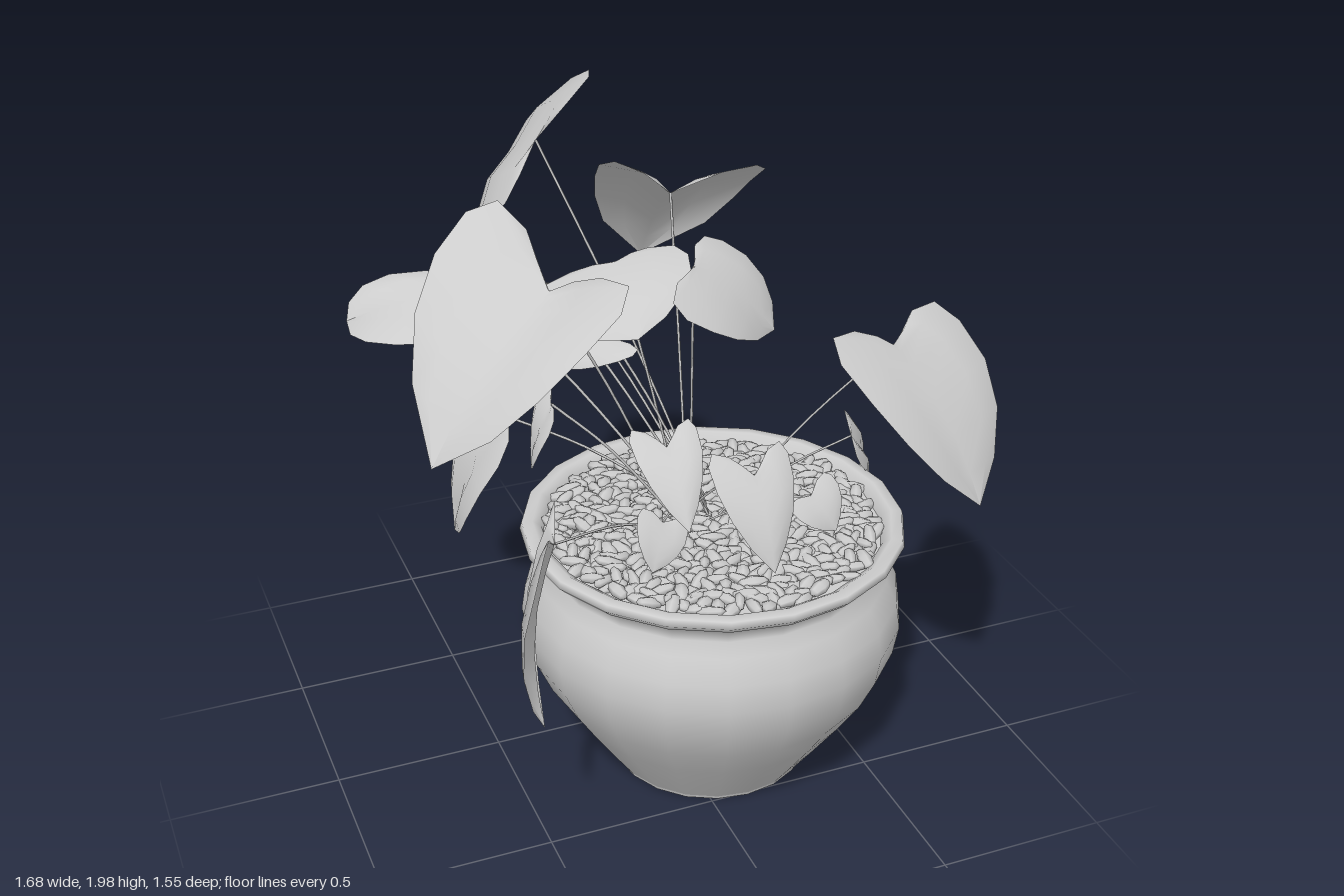
import * as THREE from 'three';
import { mergeGeometries } from 'three/addons/utils/BufferGeometryUtils.js';

const V = (x, y, z) => new THREE.Vector3(x, y, z);
const CX = 0.11, CZ = 0.215; // pot axis

// half outline of a heart leaf: [midrib position, sideways, along]
const ROWS = [
  [0, 0.04, 0], [0, 0.5, -0.1], [0.05, 0.88, -0.07], [0.16, 1.04, 0.1],
  [0.36, 1.0, 0.36], [0.6, 0.8, 0.62], [0.82, 0.46, 0.84], [1, 0, 1.01],
];
const COLS = [-1, -0.5, 0, 0.5, 1];

// heart-shaped blade from its notch, tip and two lobe points; blunt widens the tip half
function leafGeometry(notch, tip, lobeA, lobeB, blunt) {
  const along = tip.clone().sub(notch);
  const a = lobeA.clone().sub(notch), b = lobeB.clone().sub(notch);
  const normal = along.clone().cross(b.clone().sub(a)).normalize();
  const flip = normal.y < 0;
  if (flip) normal.negate();
  const len = along.length(), pos = [], index = [];
  for (const [rib, side, t] of ROWS) {
    const s = t > 0.2 ? side ** (1 - blunt) : side;
    for (const c of COLS) {
      const f = Math.abs(c);
      const v = rib + (t - rib) * f;
      const arch = len * (0.08 * Math.sin(Math.PI * Math.max(v, 0)) + 0.05 * Math.sin(Math.PI * f) * s);
      const p = notch.clone().addScaledVector(along, v)
        .addScaledVector(c < 0 ? a : b, f * s).addScaledVector(normal, arch);
      pos.push(p.x, p.y, p.z);
    }
  }
  const n = COLS.length;
  for (let i = 0; i < ROWS.length - 1; i++) {
    for (let j = 0; j < n - 1; j++) {
      const p = i * n + j, q = p + n;
      if (flip) index.push(p, q, p + 1, p + 1, q, q + 1);
      else index.push(p, p + 1, q, p + 1, q + 1, q);
    }
  }
  const g = new THREE.BufferGeometry();
  g.setAttribute('position', new THREE.Float32BufferAttribute(pos, 3));
  g.setIndex(index);
  g.computeVertexNormals();
  return g;
}

// stem rising from the soil and bending out to the leaf
function stemGeometry(end, i) {
  const start = V(0.08 + 0.05 * Math.cos(i * 2.4), 0.76, 0.16 + 0.05 * Math.sin(i * 2.4));
  const mid = start.clone().lerp(end, 0.55);
  mid.y += 0.03;
  return new THREE.TubeGeometry(new THREE.CatmullRomCurve3([start, mid, end]), 10, 0.004, 4);
}

// elongated pebbles spread in a spiral over the soil
function pebbleGeometry() {
  let seed = 7;
  const rnd = () => (seed = (seed * 16807) % 2147483647) / 2147483647;
  const stones = [], total = 560;
  for (let i = 0; i < total; i++) {
    const r = 0.475 * Math.sqrt((i + 0.5) / total), a = i * 2.39996;
    const g = new THREE.SphereGeometry(1, 6, 4);
    g.rotateZ(Math.PI / 2);
    g.scale(0.034 + rnd() * 0.014, 0.014 + rnd() * 0.006, 0.016 + rnd() * 0.007);
    g.rotateZ((rnd() - 0.5) * 0.7);
    g.rotateY(rnd() * Math.PI * 2);
    g.translate(CX + r * Math.cos(a), 0.772 + rnd() * 0.015, CZ + r * Math.sin(a));
    stones.push(g);
  }
  return mergeGeometries(stones);
}

export function createModel() {
  const group = new THREE.Group();
  const grey = new THREE.MeshStandardMaterial({ color: 0xcccccc, side: THREE.DoubleSide });
  grey.name = 'plain grey';
  const add = (name, geometry) => {
    const m = new THREE.Mesh(geometry, grey);
    m.name = name;
    group.add(m);
    return m;
  };

  // round-bellied pot with a flared rim
  const profile = [
    [0.3, 0.012], [0.355, 0.09], [0.43, 0.2], [0.5, 0.31], [0.545, 0.41], [0.56, 0.5], [0.548, 0.58],
    [0.515, 0.65], [0.49, 0.69], [0.49, 0.725], [0.535, 0.752], [0.558, 0.775],
    [0.552, 0.795], [0.52, 0.797], [0.495, 0.78], [0.485, 0.74],
  ].map(([r, y]) => new THREE.Vector2(r, y));
  add('pot', new THREE.LatheGeometry(profile, 20)).position.set(CX, 0, CZ);
  add('potBase', new THREE.CylinderGeometry(0.3, 0.295, 0.014, 20)).position.set(CX, 0.007, CZ);
  add('soil', new THREE.CylinderGeometry(0.49, 0.49, 0.02, 20)).position.set(CX, 0.757, CZ);
  add('pebbles', pebbleGeometry());

  // each leaf: notch, tip, lobe, lobe, bluntness
  let count = 0;
  const leaf = (name, n, t, a, b, blunt = 0) => {
    const notch = V(...n);
    add(name + 'Leaf', leafGeometry(notch, V(...t), V(...a), V(...b), blunt));
    add(name + 'Stem', stemGeometry(notch, count++));
  };
  leaf('topBack', [-0.2, 1.78, -0.38], [-0.17, 1.55, -0.77], [-0.37, 1.64, -0.21], [-0.05, 1.99, -0.3], 0.35);
  leaf('back', [0.11, 1.67, -0.12], [0.14, 1.36, -0.43], [-0.11, 1.81, -0.06], [0.31, 1.79, 0.08], 0.5);
  leaf('centre', [0.03, 1.6, 0.24], [0.25, 1.4, 0.29], [-0.09, 1.56, 0.42], [0.14, 1.62, 0.11], 0.1);
  leaf('rightFront', [0.53, 1.38, 0.46], [0.67, 1.0, 0.74], [0.3, 1.44, 0.54], [0.77, 1.39, 0.32]);
  leaf('leftFront', [-0.38, 1.6, 0.25], [-0.77, 1.26, 0.45], [-0.47, 1.76, -0.03], [-0.24, 1.65, 0.48], 0.2);
  leaf('leftBack', [-0.28, 1.46, -0.16], [-0.64, 1.27, -0.34], [-0.29, 1.38, -0.36], [-0.46, 1.48, -0.03], 0.25);
  leaf('farLeft', [-0.48, 1.5, -0.02], [-0.83, 1.42, -0.15], [-0.56, 1.52, -0.16], [-0.62, 1.43, 0.1]);
  leaf('innerLeft', [-0.11, 1.55, 0.02], [-0.15, 1.44, 0.29], [-0.36, 1.47, 0.0], [0.08, 1.57, 0.05]);
  leaf('lowBack', [-0.12, 1.31, -0.34], [-0.12, 1.0, -0.65], [-0.26, 1.37, -0.3], [0.01, 1.36, -0.36]);
  leaf('droopingLeft', [-0.46, 0.98, 0.48], [-0.545, 0.5, 0.61], [-0.44, 1.05, 0.42], [-0.53, 0.96, 0.58]);
  leaf('lowLeft', [-0.42, 1.08, -0.09], [-0.58, 0.74, -0.08], [-0.4, 1.16, -0.26], [-0.46, 1.04, 0.07], 0.3);
  leaf('smallRight', [0.62, 0.89, 0.08], [0.73, 0.68, -0.05], [0.6, 0.85, 0.17], [0.65, 0.92, -0.03]);
  leaf('lowFront', [0.13, 1.05, 0.45], [0.14, 0.81, 0.58], [0.01, 1.1, 0.4], [0.24, 1.1, 0.4]);
  leaf('smallFront', [-0.15, 1.22, 0.5], [-0.15, 1.05, 0.66], [-0.24, 1.25, 0.45], [-0.06, 1.26, 0.46]);
  leaf('tinyRight', [0.32, 0.93, 0.42], [0.38, 0.83, 0.47], [0.24, 0.92, 0.45], [0.39, 0.97, 0.38]);
  leaf('tinyFront', [-0.14, 0.96, 0.45], [-0.19, 0.84, 0.5], [-0.2, 1.0, 0.43], [-0.07, 0.94, 0.46]);
  leaf('tinyInner', [-0.14, 1.34, 0.07], [-0.28, 1.26, 0.04], [-0.2, 1.34, -0.03], [-0.1, 1.33, 0.16]);
  leaf('tinyLeft', [-0.34, 1.2, 0.12], [-0.42, 1.04, 0.17], [-0.31, 1.26, 0.02], [-0.37, 1.18, 0.22]);
  return group;
}
